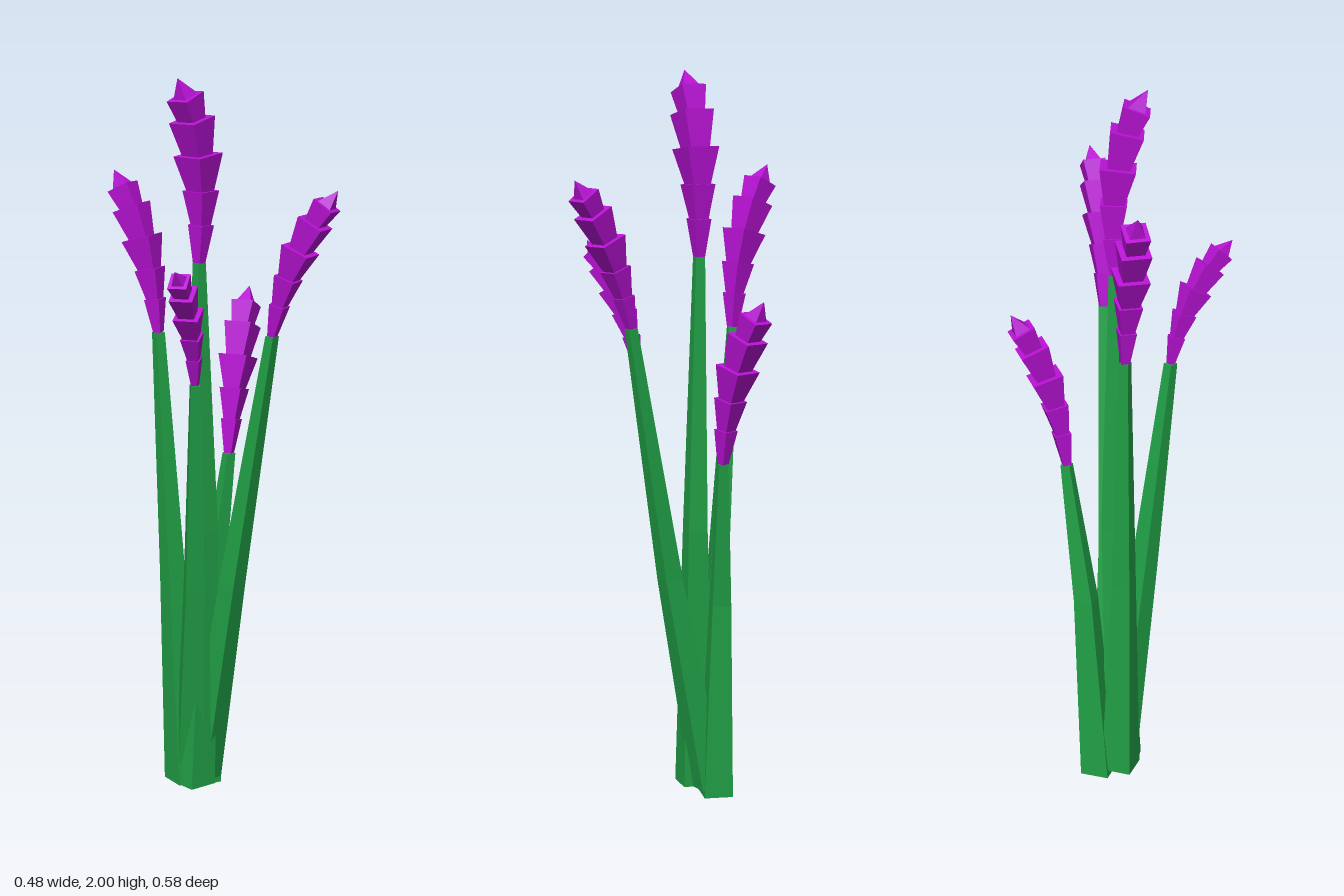
import * as THREE from 'three';

const green = new THREE.MeshStandardMaterial({ color: 0x21a046, flatShading: true });
const purple = new THREE.MeshStandardMaterial({ color: 0xb812d4, flatShading: true });
const UP = new THREE.Vector3(0, 1, 0);

// Square stem: a four-sided column whose three rings are moved along the path
function makeStem(rings, turn) {
  const geo = new THREE.CylinderGeometry(Math.SQRT2, Math.SQRT2, 2, 4, 2);
  geo.rotateY(Math.PI / 4 + turn);
  const pos = geo.attributes.position;
  for (let i = 0; i < pos.count; i++) {
    const [x, y, z, half] = rings[Math.round(pos.getY(i) + 1)];
    pos.setXYZ(i, x + pos.getX(i) * half, y, z + pos.getZ(i) * half);
  }
  geo.computeVertexNormals();
  const mesh = new THREE.Mesh(geo, green);
  mesh.name = 'stem';
  return mesh;
}

// Blossom whorls: start and end along the curve, half width at bottom and top
const whorls = [
  [0, 0.2, 0.012, 0.025],
  [0.17, 0.38, 0.017, 0.035],
  [0.34, 0.57, 0.022, 0.047],
  [0.53, 0.76, 0.026, 0.044],
  [0.72, 0.89, 0.024, 0.036],
  [0.86, 1, 0.03, 0],
];

// Flower spike: flared square cups stacked along a bending curve, ending in a point
function makeSpike(base, bend, tip, size) {
  const group = new THREE.Group();
  group.name = 'flowerSpike';
  const [a, b, c] = [base, bend, tip].map((p) => new THREE.Vector3(...p));
  const curve = new THREE.QuadraticBezierCurve3(a, b, c);
  const side = new THREE.Vector3(c.x - a.x, 0, c.z - a.z).cross(UP).normalize();
  whorls.forEach(([s, e, bottom, top]) => {
    const p = curve.getPointAt(s);
    const q = curve.getPointAt(e);
    const dir = q.clone().sub(p);
    const k = Math.SQRT2 * size;
    const geo = new THREE.CylinderGeometry(top * k, bottom * k, dir.length(), 4);
    geo.rotateY(Math.PI / 4);
    dir.normalize();
    const out = side.clone().cross(dir).normalize();
    const across = dir.clone().cross(out);
    geo.applyMatrix4(new THREE.Matrix4().makeBasis(across, dir, out));
    const mesh = new THREE.Mesh(geo, purple);
    mesh.name = top ? 'blossomWhorl' : 'blossomTip';
    mesh.position.copy(p).add(q).multiplyScalar(0.5);
    group.add(mesh);
  });
  return group;
}

// foot and knee: x, y, z, half width of the stem; base, bend and tip: points of the spike
const flowers = [
  { name: 'centreFlower', foot: [-0.045, 0.02, -0.06, 0.042], knee: [-0.012, 0.75, -0.06, 0.027],
    base: [-0.022, 1.5, -0.07], bend: [0.005, 1.83, -0.07], tip: [-0.1, 2, -0.035], turn: 0.25, size: 1 },
  { name: 'backRightFlower', foot: [-0.055, 0.02, -0.1, 0.042], knee: [-0.078, 0.62, -0.128, 0.026],
    base: [-0.1, 1.3, -0.168], bend: [-0.115, 1.56, -0.175], tip: [-0.185, 1.74, -0.27], turn: 0.1, size: 0.9 },
  { name: 'backLeftFlower', foot: [0.005, 0, -0.118, 0.04], knee: [0.04, 0.55, -0.125, 0.026],
    base: [0.095, 0.95, -0.127], bend: [0.12, 1.22, -0.14], tip: [0.205, 1.4, -0.225], turn: 0.12, size: 0.9 },
  { name: 'frontLeftFlower', foot: [0, 0.02, -0.095, 0.036], knee: [0.04, 0.62, 0.012, 0.026],
    base: [0.105, 1.32, 0.12], bend: [0.13, 1.56, 0.17], tip: [0.22, 1.72, 0.27], turn: 0.45, size: 0.85 },
  { name: 'frontRightFlower', foot: [-0.045, 0.02, -0.095, 0.036], knee: [-0.075, 0.62, 0.01, 0.026],
    base: [-0.11, 1.2, 0.095], bend: [-0.13, 1.41, 0.13], tip: [-0.228, 1.53, 0.228], turn: -0.3, size: 0.72 },
];

export function createModel() {
  const model = new THREE.Group();
  model.name = 'flowerBunch';
  for (const f of flowers) {
    const flower = new THREE.Group();
    flower.name = f.name;
    flower.add(makeStem([f.foot, f.knee, [...f.base, 0.013]], f.turn));
    flower.add(makeSpike(f.base, f.bend, f.tip, f.size));
    model.add(flower);
  }
  return model;
}
